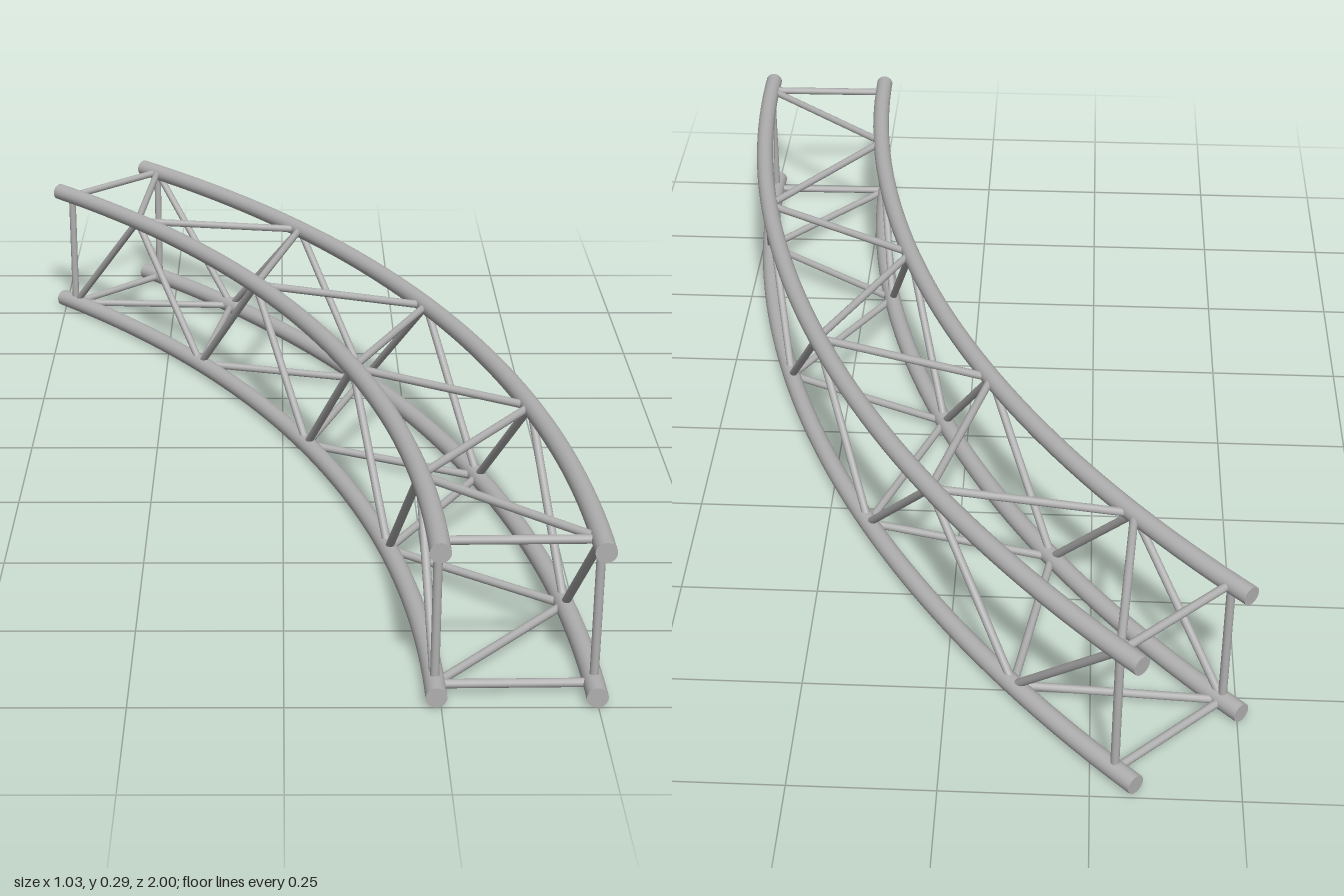
import * as THREE from 'three';

const CX = -2.313, CZ = 1;             // centre of the bend
const R_OUT = 2.811, R_IN = 2.555;     // chord radii
const Y_LOW = 0.018, Y_HIGH = 0.275;   // chord heights
const CHORD_R = 0.0175, STRUT_R = 0.0075;
const SWEEP = 45, INSET = 1, PANELS = 8;

const rad = THREE.MathUtils.degToRad;

// Point on a chord at an angle (degrees) from the front end
function at(radius, y, deg) {
  const a = rad(deg);
  return new THREE.Vector3(CX + radius * Math.cos(a), y, CZ - radius * Math.sin(a));
}

class ChordCurve extends THREE.Curve {
  constructor(radius, y) {
    super();
    this.radius = radius;
    this.y = y;
  }
  getPoint(t, target = new THREE.Vector3()) {
    return target.copy(at(this.radius, this.y, t * SWEEP));
  }
}

export function createModel() {
  const model = new THREE.Group();
  model.name = 'curvedTruss';
  const metal = new THREE.MeshStandardMaterial({ color: 0xb0b0b0 });
  metal.name = 'aluminium grey';

  // Bent main tube with a flat disc on each end
  function chord(name, radius, y) {
    const group = new THREE.Group();
    group.name = name;
    const curve = new ChordCurve(radius, y);
    const tube = new THREE.Mesh(new THREE.TubeGeometry(curve, 48, CHORD_R, 20), metal);
    tube.name = name + 'Tube';
    group.add(tube);
    for (const end of [0, 1]) {
      const cap = new THREE.Mesh(new THREE.CircleGeometry(CHORD_R, 20), metal);
      cap.name = name + (end ? 'BackCap' : 'FrontCap');
      cap.position.copy(curve.getPoint(end));
      cap.rotation.y = end ? Math.PI + rad(SWEEP) : 0;
      group.add(cap);
    }
    model.add(group);
  }

  // Straight round bar between two points
  const up = new THREE.Vector3(0, 1, 0);
  function strut(name, a, b) {
    const dir = b.clone().sub(a);
    const bar = new THREE.Mesh(new THREE.CylinderGeometry(STRUT_R, STRUT_R, dir.length(), 12, 1, true), metal);
    bar.name = name;
    bar.position.copy(a).add(b).multiplyScalar(0.5);
    bar.quaternion.setFromUnitVectors(up, dir.normalize());
    model.add(bar);
  }

  chord('outerTopChord', R_OUT, Y_HIGH);
  chord('outerBottomChord', R_OUT, Y_LOW);
  chord('innerTopChord', R_IN, Y_HIGH);
  chord('innerBottomChord', R_IN, Y_LOW);

  // Square frames near both ends
  for (const deg of [INSET, SWEEP - INSET]) {
    for (const r of [R_OUT, R_IN]) strut('endUpright', at(r, Y_LOW, deg), at(r, Y_HIGH, deg));
    for (const y of [Y_LOW, Y_HIGH]) strut('endCrossbar', at(R_IN, y, deg), at(R_OUT, y, deg));
  }

  // Zigzag bracing on all four faces, meeting at shared nodes
  const step = (SWEEP - 2 * INSET) / PANELS;
  const outer = (i) => at(R_OUT, i % 2 ? Y_LOW : Y_HIGH, INSET + i * step);
  const inner = (i) => at(R_IN, i % 2 ? Y_HIGH : Y_LOW, INSET + i * step);
  for (let i = 0; i < PANELS; i++) {
    strut('outerBrace', outer(i), outer(i + 1));
    strut('innerBrace', inner(i), inner(i + 1));
    strut(i % 2 ? 'bottomBrace' : 'topBrace', outer(i), inner(i + 1));
    strut(i % 2 ? 'topBrace' : 'bottomBrace', inner(i), outer(i + 1));
  }

  return model;
}
